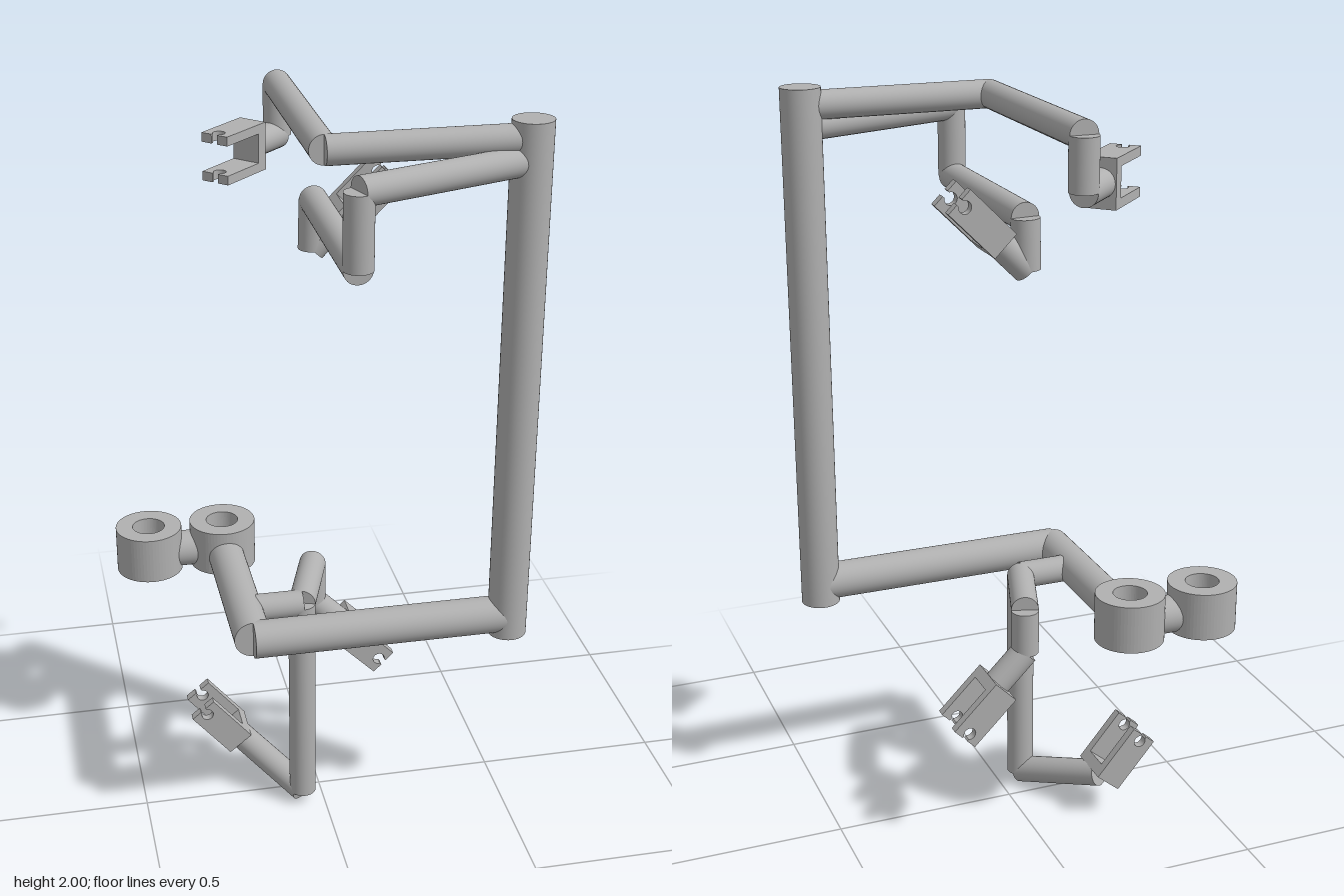
import * as THREE from 'three';

const metal = new THREE.MeshStandardMaterial({ color: 0xb0b0b0 });
metal.name = 'grey metal';

const V = (p) => new THREE.Vector3(...p);

function mesh(geometry, name) {
  const m = new THREE.Mesh(geometry, metal);
  m.name = name;
  return m;
}

// Plain round bar between two points
function bar(a, b, radius, name) {
  const from = V(a), to = V(b), dir = to.clone().sub(from);
  const m = mesh(new THREE.CylinderGeometry(radius, radius, dir.length(), 40), name);
  m.position.copy(from).add(to).multiplyScalar(0.5);
  m.quaternion.setFromUnitVectors(new THREE.Vector3(0, 1, 0), dir.normalize());
  return m;
}

// Chain of bars through a list of points
function limb(points, radius, name) {
  const g = new THREE.Group();
  g.name = name;
  for (let i = 1; i < points.length; i++) {
    g.add(bar(points[i - 1], points[i], radius, name + 'Bar' + i));
  }
  return g;
}

// Upright ring with a through hole
function ring(x, z, name) {
  const y0 = 0.6, y1 = 0.73, ro = 0.0925, ri = 0.045;
  const shape = new THREE.Shape().absarc(0, 0, ro, 0, Math.PI * 2);
  shape.holes.push(new THREE.Path().absarc(0, 0, ri, 0, Math.PI * 2, true));
  const geo = new THREE.ExtrudeGeometry(shape, { depth: y1 - y0, bevelEnabled: false, curveSegments: 32 });
  geo.rotateX(-Math.PI / 2);
  const m = mesh(geo, name);
  m.position.set(x, y0, z);
  return m;
}

// Fork: stub, base block and two notched prongs separated along the normal
function gripper(joint, direction, normal, stub, name) {
  const L = 0.167, w = 0.08, span = 0.125, thick = 0.024, baseLength = 0.032;
  const holeX = L - 0.02, holeR = 0.0165, slot = 0.009;
  const a = Math.asin(slot / holeR);
  const g = new THREE.Group();
  g.name = name;

  const shape = new THREE.Shape();
  shape.moveTo(0, -w / 2);
  shape.lineTo(L, -w / 2);
  shape.lineTo(L, -slot);
  shape.lineTo(holeX + holeR * Math.cos(a), -slot);
  shape.absarc(holeX, 0, holeR, -a, a - Math.PI * 2, true);
  shape.lineTo(holeX + holeR * Math.cos(a), slot);
  shape.lineTo(L, slot);
  shape.lineTo(L, w / 2);
  shape.lineTo(0, w / 2);
  const prongGeo = new THREE.ExtrudeGeometry(shape, { depth: thick, bevelEnabled: false, curveSegments: 20 });
  for (const z of [-span / 2, span / 2 - thick]) {
    const prong = mesh(prongGeo, 'prong');
    prong.position.set(stub, 0, z);
    g.add(prong);
  }
  const base = mesh(new THREE.BoxGeometry(baseLength, w, span - 2 * thick), 'gripperBase');
  base.position.x = stub + baseLength / 2;
  g.add(base);
  if (stub > 0) g.add(bar([0, 0, 0], [stub + 0.01, 0, 0], 0.037, 'gripperStub'));

  const x = V(direction).normalize(), z = V(normal);
  g.quaternion.setFromRotationMatrix(new THREE.Matrix4().makeBasis(x, z.clone().cross(x), z));
  g.position.set(...joint);
  return g;
}

export function createModel() {
  const model = new THREE.Group();
  model.name = 'jointedStand';
  const thin = 0.037, thick = 0.05;

  // Main post
  model.add(bar([0.47, 0.595, 0.225], [0.47, 2, 0.225], 0.052, 'post'));

  // Lower frame with the two rings
  model.add(limb([[0.47, 0.65, 0.225], [-0.22, 0.65, 0.225]], thick, 'lowerBeam'));
  model.add(bar([-0.22, 0.65, 0.225], [-0.22, 0.65, -0.225], thick, 'crossBeam'));
  model.add(bar([-0.305, 0.65, -0.305], [-0.345, 0.65, -0.305], thick, 'ringLink'));
  // Link ends reach into the ring walls
  model.add(bar([-0.28, 0.65, -0.305], [-0.37, 0.65, -0.305], thick, 'ringLinkCore'));
  model.add(ring(-0.22, -0.305, 'innerRing'), ring(-0.43, -0.305, 'outerRing'));

  // Hanging limbs
  const hip = [-0.06, 0.65, 0.067];
  const foot = [-0.06, 0.036, 0.067], ankle = [-0.213, 0.107, -0.147];
  model.add(limb([[-0.22, 0.65, 0.067], hip, foot, ankle], thin, 'longLeg'));
  model.add(gripper(ankle, [-0.64, 0.77, 0], [0, 0, 1], 0, 'longLegGripper'));
  const knee = [0.012, 0.528, -0.147];
  model.add(limb([hip, [0.012, 0.65, -0.147], knee], thin, 'shortLeg'));
  model.add(gripper(knee, [1, -1, 0], [0, 0, 1], 0.11, 'shortLegGripper'));

  // Upper limbs
  const wristA = [-0.033, 1.82, -0.39];
  model.add(limb([[0.47, 1.953, 0.225], [-0.033, 1.953, 0.225], [-0.033, 1.953, -0.39], wristA], thin, 'upperArm'));
  model.add(gripper(wristA, [-1, 0, 1], [0, 1, 0], 0.11, 'upperArmGripper'));
  const wristB = [0.012, 1.583, -0.147];
  model.add(limb([[0.47, 1.9, 0.225], [0.015, 1.9, 0.385], [0.015, 1.713, 0.385],
    [0.015, 1.713, -0.147], wristB], thin, 'bentArm'));
  model.add(gripper(wristB, [1, 1, 0], [0, 0, 1], 0.11, 'bentArmGripper'));

  return model;
}
